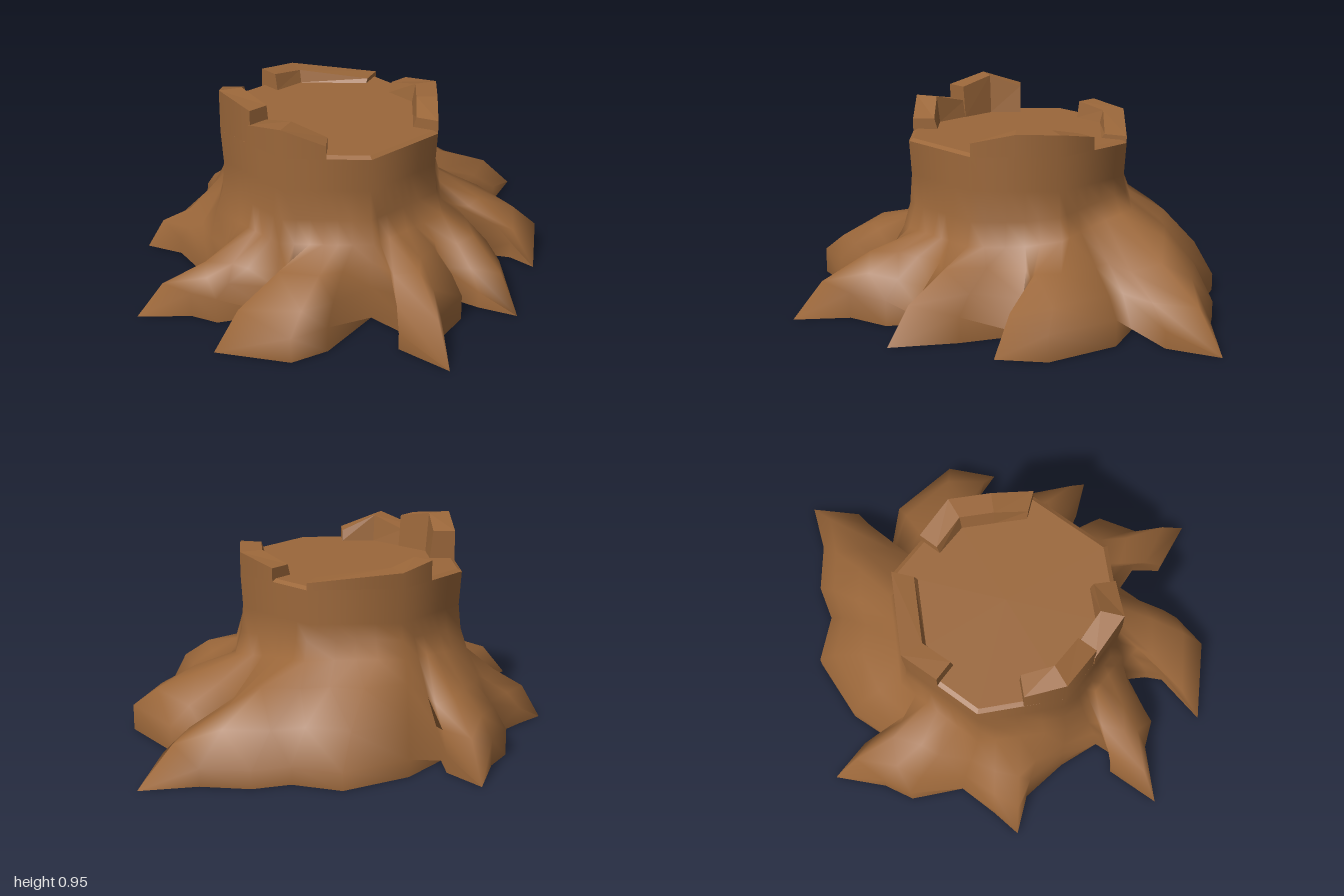
import * as THREE from 'three';

const CX = -0.05, CZ = -0.05;
const TOP = 0.77, EDGE = TOP - 0.012;

// Trunk cross-section, clockwise from above: [x, z]
const OCT = [[0.455, -0.22], [0.435, 0.18], [0.12, 0.465], [-0.28, 0.445],
  [-0.565, 0.12], [-0.555, -0.28], [-0.24, -0.565], [0.18, -0.54]];

// Heights of the root surface at three steps outward, by role
const ROLE = {
  notch: [0.27, 0.15, 0],
  outer: [0.29, 0.205, 0.12],
  back: [0.37, 0.23, 0.08],
  tip: [0.29, 0.17, 0],
  inner: [0.25, 0.17, 0.08],
};

// Each root runs from a notch over its outer bend to a hooked tip and back
const ROOTS = [
  { notch: [0.59, -0.54], outer: [[0.79, -0.45], [0.965, -0.15]], tip: [0.93, 0.08], inner: [[0.83, -0.02]] },
  { notch: [0.65, -0.07], outer: [[0.74, 0.23]], tip: [0.79, 0.54], inner: [[0.62, 0.46]] },
  { notch: [0.49, 0.37], outer: [[0.53, 0.56], [0.42, 0.73]], tip: [0.44, 0.99], inner: [[0.23, 0.81], [0.26, 0.68]] },
  { notch: [0.12, 0.54], outer: [[-0.08, 0.82], [-0.24, 0.91]], tip: [-0.58, 0.82], inner: [[-0.35, 0.69], [-0.32, 0.61]] },
  { notch: [-0.31, 0.5], outer: [[-0.58, 0.57], [-0.7, 0.51]], tip: [-0.95, 0.51], inner: [[-0.76, 0.33], [-0.67, 0.35]], low: 0.8 },
  { notch: [-0.61, 0.29], before: [[-0.68, 0.1], [-0.8, -0.1]], tip: [-0.97, -0.18], inner: [[-0.85, -0.27]], low: 0.8 },
  { notch: [-0.7, -0.4], outer: [[-0.7, -0.65], [-0.61, -0.77]], tip: [-0.52, -1.0], inner: [[-0.4, -0.83]] },
  { notch: [-0.4, -0.69], back: [[-0.23, -0.86], [0.07, -0.98], [0.28, -0.89], [0.45, -0.92], [0.67, -0.87]],
    tip: [0.93, -0.89], inner: [[0.82, -0.66]] },
];

const angleOf = ([x, z]) => Math.atan2(z - CZ, x - CX);

// Distance from the trunk axis to the octagon along an angle
function trunkRadius(a) {
  const dx = Math.cos(a), dz = Math.sin(a);
  for (let i = 0; i < 8; i++) {
    const [px, pz] = OCT[i], [qx, qz] = OCT[(i + 1) % 8];
    const ax = px - CX, az = pz - CZ, ex = qx - px, ez = qz - pz;
    const det = dx * ez - dz * ex;
    const r = (ax * ez - az * ex) / det;
    const s = (ax * dz - az * dx) / det;
    if (r > 0 && s >= -1e-6 && s <= 1 + 1e-6) return r;
  }
  return 0.5;
}

function indexed(pos, idx) {
  const g = new THREE.BufferGeometry();
  g.setAttribute('position', new THREE.Float32BufferAttribute(pos, 3));
  g.setIndex(idx);
  return g;
}

// Shade the upright outer faces as one round surface
function roundOuterNormals(g, minY) {
  g.computeVertexNormals();
  const p = g.attributes.position, n = g.attributes.normal;
  for (let i = 0; i < p.count; i++) {
    const a = angleOf([p.getX(i), p.getZ(i)]), c = Math.cos(a), s = Math.sin(a);
    if (p.getY(i) > minY && n.getX(i) * c + n.getZ(i) * s > 0.85) n.setXYZ(i, c, 0, s);
  }
  return g;
}

// Columns around the stump with their trunk angle and root heights
function rootColumns() {
  const cols = [];
  ROOTS.forEach((root, k) => {
    const list = [[root.notch, 'notch']];
    (root.before || []).forEach(p => list.push([p, 'inner']));
    (root.outer || []).forEach(p => list.push([p, 'outer']));
    (root.back || []).forEach(p => list.push([p, 'back']));
    list.push([root.tip, 'tip']);
    root.inner.forEach(p => list.push([p, 'inner']));
    const a0 = angleOf(root.notch);
    let a1 = angleOf(ROOTS[(k + 1) % ROOTS.length].notch);
    if (a1 < a0) a1 += Math.PI * 2;
    const low = root.low || 1;
    list.forEach(([p, role], i) => {
      const [h0, h1, h2] = ROLE[role];
      cols.push({ p, h: [h0 * low, h1 * (low + 1) / 2, h2], a: a0 + (a1 - a0) * i / list.length });
    });
  });
  // Put one column exactly on each corner of the trunk
  for (const corner of OCT) {
    const a = angleOf(corner);
    const gap = c => Math.atan2(Math.sin(a - c.a), Math.cos(a - c.a));
    const near = cols.reduce((m, c) => (Math.abs(gap(c)) < Math.abs(gap(m)) ? c : m));
    near.a += gap(near);
  }
  return cols;
}

// One smooth skin: straight trunk flaring into the hooked roots
function trunkAndRoots() {
  const cols = rootColumns(), pos = [], idx = [];
  const ROWS = 8;
  for (const { p, h, a } of cols) {
    const r = trunkRadius(a), c = Math.cos(a), s = Math.sin(a);
    const ring = (k, y) => pos.push(CX + c * r * k, y, CZ + s * r * k);
    const rise = Math.max(0, -s);
    ring(1, EDGE);
    ring(0.98, 0.6);
    ring(1.0, 0.46 + 0.07 * rise);
    ring(1.06, 0.35 + 0.1 * rise);
    const bx = CX + c * r * 1.06, bz = CZ + s * r * 1.06;
    [0.42, 0.78, 1].forEach((t, i) => pos.push(bx + (p[0] - bx) * t, h[i], bz + (p[1] - bz) * t));
    pos.push(p[0], 0, p[1]);
  }
  for (let i = 0; i < cols.length; i++) {
    const n = (i + 1) % cols.length;
    for (let j = 0; j < ROWS - 1; j++) {
      const a = i * ROWS + j, b = n * ROWS + j;
      idx.push(a, b, a + 1, b, b + 1, a + 1);
    }
  }
  return roundOuterNormals(indexed(pos, idx), 0.55);
}

// Flat cut with a small bevel around its edge
function cutTop() {
  const pos = [CX, TOP, CZ], idx = [];
  OCT.forEach(([x, z], i) => {
    pos.push(CX + (x - CX) * 0.96, TOP, CZ + (z - CZ) * 0.96, x, EDGE, z);
    const a = 1 + i * 2, b = 1 + ((i + 1) % 8) * 2;
    idx.push(0, b, a, a, b, a + 1, b, b + 1, a + 1);
  });
  const g = indexed(pos, idx).toNonIndexed();
  g.computeVertexNormals();
  return g;
}

// Raised bark along part of the rim; points are [x, z, top height]
function barkPiece(points) {
  const pos = [], idx = [];
  for (const [x, z, y] of points) {
    const inward = k => [CX + (x - CX) * k, CZ + (z - CZ) * k];
    const [tx, tz] = inward(0.8), [fx, fz] = inward(0.77);
    pos.push(x, EDGE, z, x, y, z, tx, y, tz, fx, TOP, fz);
  }
  for (let i = 0; i < points.length - 1; i++) {
    for (let j = 0; j < 3; j++) {
      const a = i * 4 + j, b = a + 4;
      idx.push(a, a + 1, b, b, a + 1, b + 1);
    }
  }
  const e = (points.length - 1) * 4;
  idx.push(0, 2, 1, 0, 3, 2, e, e + 1, e + 2, e, e + 2, e + 3);
  return roundOuterNormals(indexed(pos, idx).toNonIndexed(), 0);
}

export function createModel() {
  const group = new THREE.Group();
  group.name = 'treeStump';
  const bark = new THREE.MeshStandardMaterial({ color: 0x9b673a, side: THREE.DoubleSide });
  bark.name = 'barkBrown';
  const add = (name, geometry) => {
    const m = new THREE.Mesh(geometry, bark);
    m.name = name;
    group.add(m);
  };

  add('trunkAndRoots', trunkAndRoots());
  add('cutTop', cutTop());

  // Broken bark standing above the cut
  add('leftBark', barkPiece([[0.32, -0.38, 0.82], [0.455, -0.22, 0.86], [0.446, -0.02, 0.86], [0.435, 0.18, 0.82]]));
  add('frontBark', barkPiece([[-0.08, 0.455, 0.82], [-0.28, 0.445, 0.895], [-0.43, 0.28, 0.85]]));
  add('rightBark', barkPiece([[-0.42, 0.285, 0.92], [-0.565, 0.12, 0.955], [-0.56, -0.07, 0.9]]));
  add('backBark', barkPiece([[-0.39, -0.43, 0.85], [-0.24, -0.565, 0.83], [0.18, -0.54, 0.79]]));
  return group;
}
